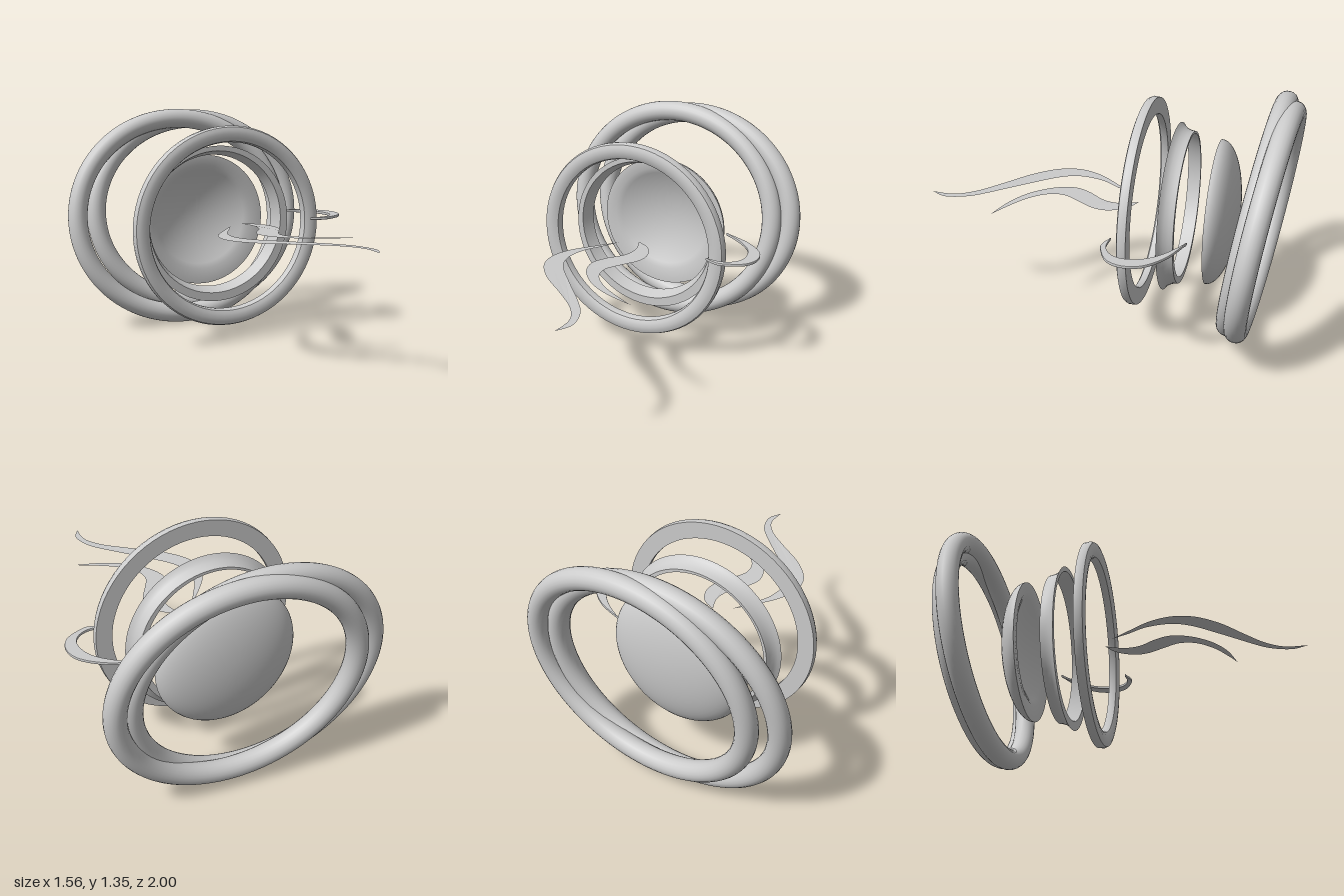
import * as THREE from 'three';
import { toCreasedNormals } from 'three/addons/utils/BufferGeometryUtils.js';

const grey = new THREE.MeshStandardMaterial({ color: 0xcccccc, side: THREE.DoubleSide });

function add(group, name, geometry) {
  const mesh = new THREE.Mesh(geometry, grey);
  mesh.name = name;
  group.add(mesh);
  return mesh;
}

// Turned part around the z axis; profile points are [radius, z, y of centre, x of centre]
function turned(profile) {
  const geo = new THREE.LatheGeometry(profile.map(([r, z]) => new THREE.Vector2(r, z)), 72);
  geo.rotateX(Math.PI / 2);
  const pos = geo.attributes.position;
  for (let i = 0; i < pos.count; i++) {
    const [, , cy, cx] = profile[i % profile.length];
    pos.setXY(i, pos.getX(i) + cx, pos.getY(i) + cy);
  }
  return toCreasedNormals(geo, 0.6);
}

// Tilted oval ring: centre plus two half axes
function ovalRing(centre, across, up, tube) {
  const points = [];
  for (let i = 0; i < 48; i++) {
    const a = (i / 48) * Math.PI * 2;
    points.push(centre.clone().addScaledVector(across, Math.cos(a)).addScaledVector(up, Math.sin(a)));
  }
  return new THREE.TubeGeometry(new THREE.CatmullRomCurve3(points, true), 128, tube, 20, true);
}

// Flat outline in x and z: one side from tip to tip, the other side back again
function outline(sideA, sideB) {
  const v = (list) => list.map(([x, z]) => new THREE.Vector2(x, z));
  const shape = new THREE.Shape();
  shape.moveTo(...sideA[0]);
  shape.splineThru(v(sideA.slice(1)));
  shape.splineThru(v([...sideB, sideA[0]]));
  return shape;
}

// Thin horizontal ribbon that rises slightly away from the middle
function wisp(sideA, sideB) {
  const geo = new THREE.ShapeGeometry(outline(sideA, sideB), 8);
  geo.rotateX(Math.PI / 2);
  const pos = geo.attributes.position;
  for (let i = 0; i < pos.count; i++) {
    pos.setY(i, 0.704 + 0.012 * Math.min(1, Math.abs(pos.getZ(i)) * 1.6));
  }
  geo.computeVertexNormals();
  return geo;
}

export function createModel() {
  const model = new THREE.Group();
  model.name = 'explodedCup';
  const V = (x, y, z) => new THREE.Vector3(x, y, z);

  // Rim: flat behind, rounded in front
  add(model, 'cupRim', turned([
    [0.49, -0.215], [0.583, -0.215], [0.586, -0.185], [0.578, -0.168], [0.56, -0.161],
    [0.54, -0.159], [0.515, -0.163], [0.497, -0.173], [0.49, -0.19], [0.49, -0.215],
  ].map((p) => [...p, 0.69, -0.008])));

  // Flared wall with a slightly off-centre opening
  add(model, 'cupWall', turned([
    ...[[0.425, -0.43], [0.429, -0.405], [0.439, -0.38], [0.453, -0.362], [0.469, -0.35]]
      .map((p) => [...p, 0.68, -0.003]),
    [0.428, -0.35, 0.691, -0.01],
    [0.4, -0.43, 0.69, -0.01],
    [0.425, -0.43, 0.68, -0.003],
  ]));

  // Bowl: domed back, flat lip, shallow hollow
  const bowl = [];
  for (let i = 0; i <= 14; i++) {
    const a = (i / 14) * Math.PI / 2;
    bowl.push([0.402 * Math.sin(a), -0.58 - 0.14 * Math.cos(a), 0.675, 0]);
  }
  for (let i = 0; i <= 10; i++) {
    const r = 1 - i / 10;
    bowl.push([0.325 * r, -0.58 - 0.09 * (1 - r * r), 0.69, -0.008]);
  }
  add(model, 'cupBowl', turned(bowl));

  // Two overlapping saucer rings behind the bowl
  add(model, 'saucerRingFront',
    ovalRing(V(-0.05, 0.673, -0.815), V(0.67, 0, 0.025), V(0, 0.614, -0.085), 0.059));
  add(model, 'saucerRingBack',
    ovalRing(V(0.07, 0.693, -0.872), V(0.65, 0, 0.04), V(0, 0.588, -0.072), 0.059));

  // Crescent handle
  const handle = new THREE.ExtrudeGeometry(outline(
    [[0.45, -0.508], [0.61, -0.44], [0.72, -0.344], [0.749, -0.238], [0.71, -0.148], [0.61, -0.095], [0.56, -0.092], [0.497, -0.119]],
    [[0.59, -0.118], [0.656, -0.16], [0.681, -0.23], [0.656, -0.333], [0.577, -0.423]],
  ), { depth: 0.008, curveSegments: 8, bevelThickness: 0.004, bevelSize: 0.004, bevelOffset: -0.003, bevelSegments: 2 });
  handle.rotateX(Math.PI / 2);
  handle.translate(0, 0.716, 0);
  add(model, 'handle', handle);

  // Steam wisps
  add(model, 'steamLong', wisp(
    [[-0.037, -0.11], [-0.153, 0.026], [-0.233, 0.143], [-0.265, 0.265], [-0.233, 0.386], [-0.127, 0.513],
      [0.03, 0.635], [0.164, 0.75], [0.233, 0.862], [0.233, 0.99]],
    [[0.275, 0.9], [0.243, 0.778], [0.164, 0.672], [0.005, 0.503], [-0.127, 0.354], [-0.175, 0.238], [-0.159, 0.106], [-0.1, 0]],
  ));
  add(model, 'steamShort', wisp(
    [[0.055, -0.164], [0.137, -0.116], [0.185, -0.026], [0.18, 0.07], [0.122, 0.175], [0.08, 0.265], [0.1, 0.36],
      [0.19, 0.455], [0.323, 0.534], [0.413, 0.578]],
    [[0.243, 0.53], [0.11, 0.455], [0.01, 0.344], [-0.028, 0.228], [0.005, 0.132], [0.07, 0.037], [0.088, -0.063]],
  ));

  return model;
}
